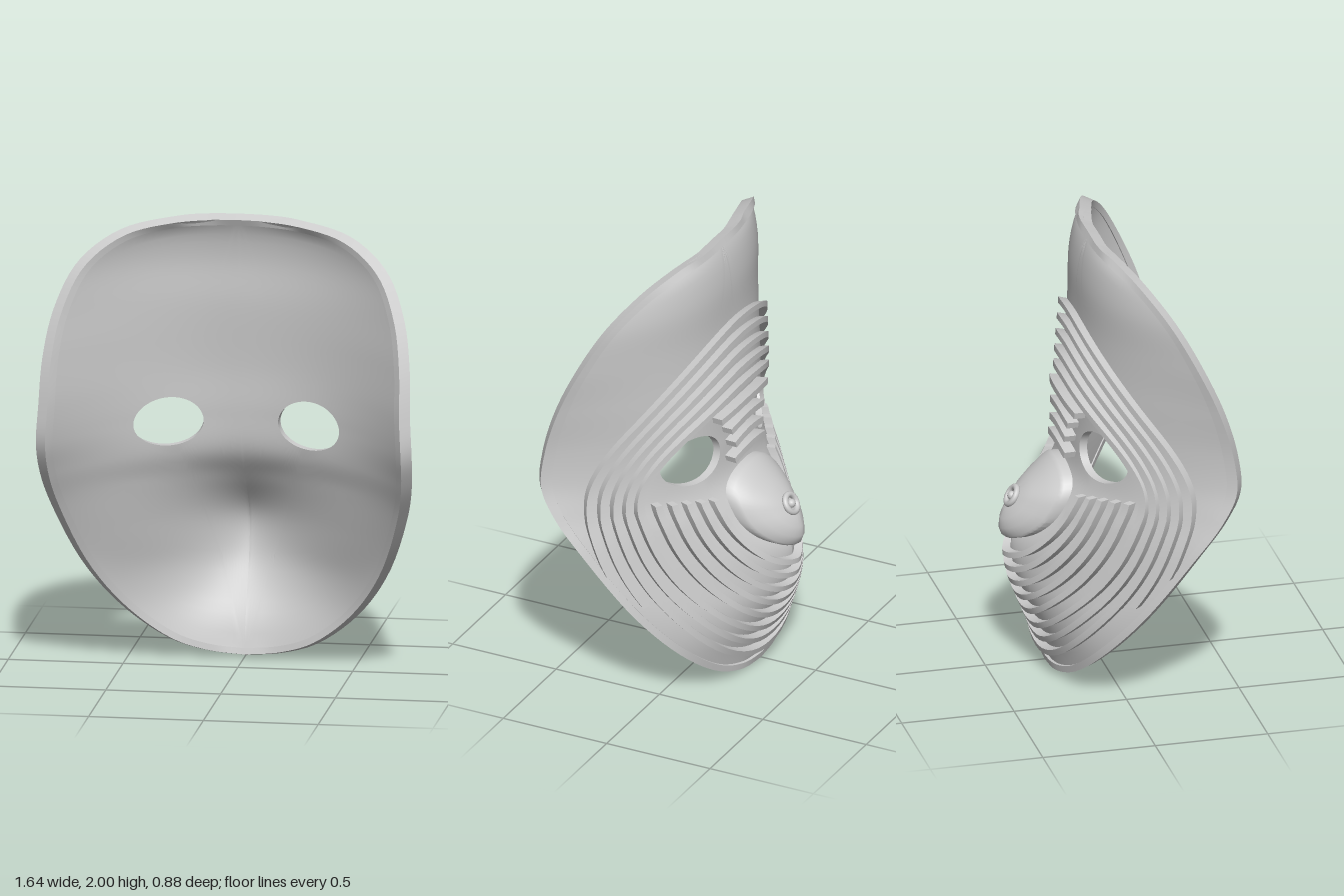
import * as THREE from 'three';
import { toCreasedNormals } from 'three/addons/utils/BufferGeometryUtils.js';

const material = new THREE.MeshStandardMaterial({ color: 0xcccccc, side: THREE.DoubleSide });
const V = (x, y, z) => new THREE.Vector3(x, y, z);
const curve = (pts) => new THREE.CatmullRomCurve3(pts.map((p) => V(...p)));
const BOTTOM = 0.016, TOP = 1.982;

// Half of the mask edge, chin to crown, and the profile down the middle
const edge = curve([
  [0, BOTTOM, -0.19], [0.15, 0.032, -0.18], [0.3, 0.085, -0.14], [0.48, 0.23, -0.06], [0.63, 0.45, 0.08],
  [0.738, 0.75, 0.265], [0.77, 0.92, 0.375], [0.776, 1.06, 0.435], [0.768, 1.22, 0.425], [0.76, 1.42, 0.37],
  [0.725, 1.62, 0.285], [0.64, 1.8, 0.19], [0.48, 1.92, 0.1], [0.27, 1.968, 0.04], [0.12, 1.979, 0.008], [0, TOP, 0],
]).getPoints(400);
const middle = curve([
  [0, BOTTOM, -0.19], [0, 0.15, -0.22], [0, 0.3, -0.28], [0, 0.45, -0.335], [0, 0.6, -0.345], [0, 0.8, -0.21],
  [0, 0.93, -0.125], [0, 1.1, -0.1], [0, 1.3, -0.09], [0, 1.6, -0.062], [0, 1.8, -0.055], [0, 1.92, -0.03], [0, TOP, 0],
]).getPoints(400);

// Point on a curve at a given height
function atHeight(pts, y) {
  let lo = 0, hi = pts.length - 1;
  while (hi - lo > 1) {
    const m = (lo + hi) >> 1;
    if (pts[m].y <= y) lo = m; else hi = m;
  }
  const k = THREE.MathUtils.clamp((y - pts[lo].y) / (pts[hi].y - pts[lo].y || 1), 0, 1);
  return pts[lo].clone().lerp(pts[hi], k);
}

// Inner face of the mask: broad sections at the forehead, peaked ones at the muzzle
function depth(x, y) {
  const e = atHeight(edge, y), c = atHeight(middle, y).z;
  const t = Math.min(Math.abs(x) / Math.max(e.x, 0.02), 1);
  const power = 2.4 - 1.1 * Math.exp(-(((y - 0.58) / 0.3) ** 2));
  return c + (e.z - c) * t ** power;
}

// Point raised by h from the inner face, away from a centre inside the mask
function place(x, y, h) {
  const z = depth(x, y);
  return V(0.9 * x, 0.3 * (y - 0.95), z - 0.9).normalize().multiplyScalar(h).add(V(x, y, z));
}

// Skin over closed cross-sections, capped at the ends if the path is open
function loft(rows, closed, flip = false, crease = 0.6) {
  const pos = [], n = rows.length, m = rows[0].length;
  const tri = (a, b, c) => (flip ? [a, c, b] : [a, b, c]).forEach((p) => pos.push(p.x, p.y, p.z));
  for (let i = 0; i < (closed ? n : n - 1); i++) {
    for (let j = 0; j < m; j++) {
      const A = rows[i], B = rows[(i + 1) % n], k = (j + 1) % m;
      tri(A[j], A[k], B[k]);
      tri(A[j], B[k], B[j]);
    }
  }
  if (!closed) {
    const A = rows[0], B = rows[n - 1];
    for (let j = 1; j < m - 1; j++) {
      tri(A[0], A[j + 1], A[j]);
      tri(B[0], B[j], B[j + 1]);
    }
  }
  const geo = new THREE.BufferGeometry();
  geo.setAttribute('position', new THREE.Float32BufferAttribute(pos, 3));
  return toCreasedNormals(geo, crease);
}

// Rectangular strip following a path over the mask surface
function strip(path, a, b, h0, h1, closed) {
  const n = path.length;
  const rows = path.map(([x, y], i) => {
    const p = path[closed ? (i + n - 1) % n : Math.max(i - 1, 0)];
    const q = path[closed ? (i + 1) % n : Math.min(i + 1, n - 1)];
    const l = Math.hypot(q[0] - p[0], q[1] - p[1]);
    const nx = -(q[1] - p[1]) / l, ny = (q[0] - p[0]) / l;
    return [[b, h0], [a, h0], [a, h1], [b, h1]].map(([s, h]) => place(x + nx * s, y + ny * s, h));
  });
  return loft(rows, closed);
}

// Half shell around one eye opening
function halfShell(side) {
  const cx = 0.305, cy = 1.07, M = 22, border = [];
  for (let i = 0; i < 100; i++) border.push(edge[i * 4]);
  for (let i = 0; i < 60; i++) border.push(V(0, TOP - ((TOP - BOTTOM) * i) / 60, 0));
  const rows = border.map((p) => {
    const a = Math.atan2(p.y - cy, p.x - cx);
    const r = 1 / Math.hypot(Math.cos(a) / 0.143, Math.sin(a) / 0.108);
    const ex = cx + r * Math.cos(a), ey = cy + r * Math.sin(a);
    const inner = [], outer = [];
    for (let j = 0; j <= M; j++) {
      const x = side * (ex + ((p.x - ex) * j) / M), y = ey + ((p.y - ey) * j) / M;
      inner.push(place(x, y, 0));
      outer.unshift(place(x, y, 0.036));
    }
    return [...inner, ...outer];
  });
  return loft(rows, true, side < 0);
}

// Domed nose pad, wide above and tapered below
function nosePad() {
  const N = 48, rings = [[1, 0.02], [1, 0.075], [0.95, 0.088], [0.75, 0.118], [0.5, 0.143], [0.25, 0.16], [0.001, 0.163]];
  const rows = [];
  for (let i = 0; i < N; i++) {
    const a = (i / N) * Math.PI * 2, c = Math.cos(a), s = Math.sin(a);
    rows.push(rings.map(([k, h]) => {
      const x = 0.195 * s * (1 + 0.18 * c) * k, y = 0.78 + 0.175 * Math.sign(c) * Math.abs(c) ** 0.85 * k;
      return V(x, y, depth(x, y) - h);
    }));
  }
  return loft(rows, true, false, 0.7);
}

export function createModel() {
  const mask = new THREE.Group();
  mask.name = 'mask';
  const add = (name, geo, parent = mask) => {
    const mesh = new THREE.Mesh(geo, material);
    mesh.name = name;
    parent.add(mesh);
  };

  add('leftShell', halfShell(1));
  add('rightShell', halfShell(-1));

  // Raised lip all the way round
  const half = edge.filter((p, i) => i % 5 === 0).map((p) => [p.x, p.y]);
  const outline = [...half, ...half.slice(1, -1).reverse().map(([x, y]) => [-x, y])];
  add('edgeLip', strip(outline, -0.003, 0.024, -0.006, 0.047, true));

  // A ridge is part of an oval: half width, top, middle and bottom height, start and end angle
  const ridge = (w, top, cy, bottom, from, to) => {
    const N = 72, full = to - from > 6.28, path = [];
    for (let k = 0; k < (full ? N : N + 1); k++) {
      const a = from + ((to - from) * k) / N, c = Math.cos(a);
      path.push([w * Math.sin(a), cy + (c > 0 ? top - cy : cy - bottom) * c]);
    }
    add('ridge', strip(path, -0.012, 0.012, 0.02, 0.074, full));
  };

  // Arches over the brow, the outer two open at the jaw, the others closed round the chin
  for (let i = 0; i < 5; i++) {
    const reach = [1.76, 2, Math.PI, Math.PI, Math.PI][i];
    ridge(0.69 - 0.0375 * i, 1.61 - 0.073 * i, 0.8 + 0.025 * i, i < 2 ? 0.05 : 0.1 + 0.062 * (i - 2), -reach, reach);
  }

  // U shapes below the eyes, round the muzzle
  for (let i = 0; i < 5; i++) {
    ridge(0.48 - 0.055 * i, 1, 0.93 - 0.012 * i, 0.286 + 0.062 * i, Math.PI / 2, Math.PI * 1.5);
  }

  // Short bars between the eyes
  [[1.245, 0.2], [1.175, 0.14], [1.105, 0.12], [1.035, 0.13]].forEach(([y, w]) => {
    const path = [];
    for (let k = 0; k <= 8; k++) {
      const u = k / 4 - 1;
      path.push([u * w, y - 0.02 * u * u]);
    }
    add('browBar', strip(path, -0.014, 0.014, 0.02, 0.088, false));
  });

  // Nose pad with a round button
  add('nosePad', nosePad());
  const button = new THREE.Group();
  button.name = 'noseButton';
  add('buttonRing', new THREE.TorusGeometry(0.04, 0.014, 10, 32), button);
  add('buttonCentre', new THREE.SphereGeometry(0.02, 16, 10), button);
  button.position.set(0, 0.79, depth(0, 0.79) - 0.165);
  button.lookAt(0, 0.79 + 0.5, button.position.z - 0.85);
  mask.add(button);
  return mask;
}
